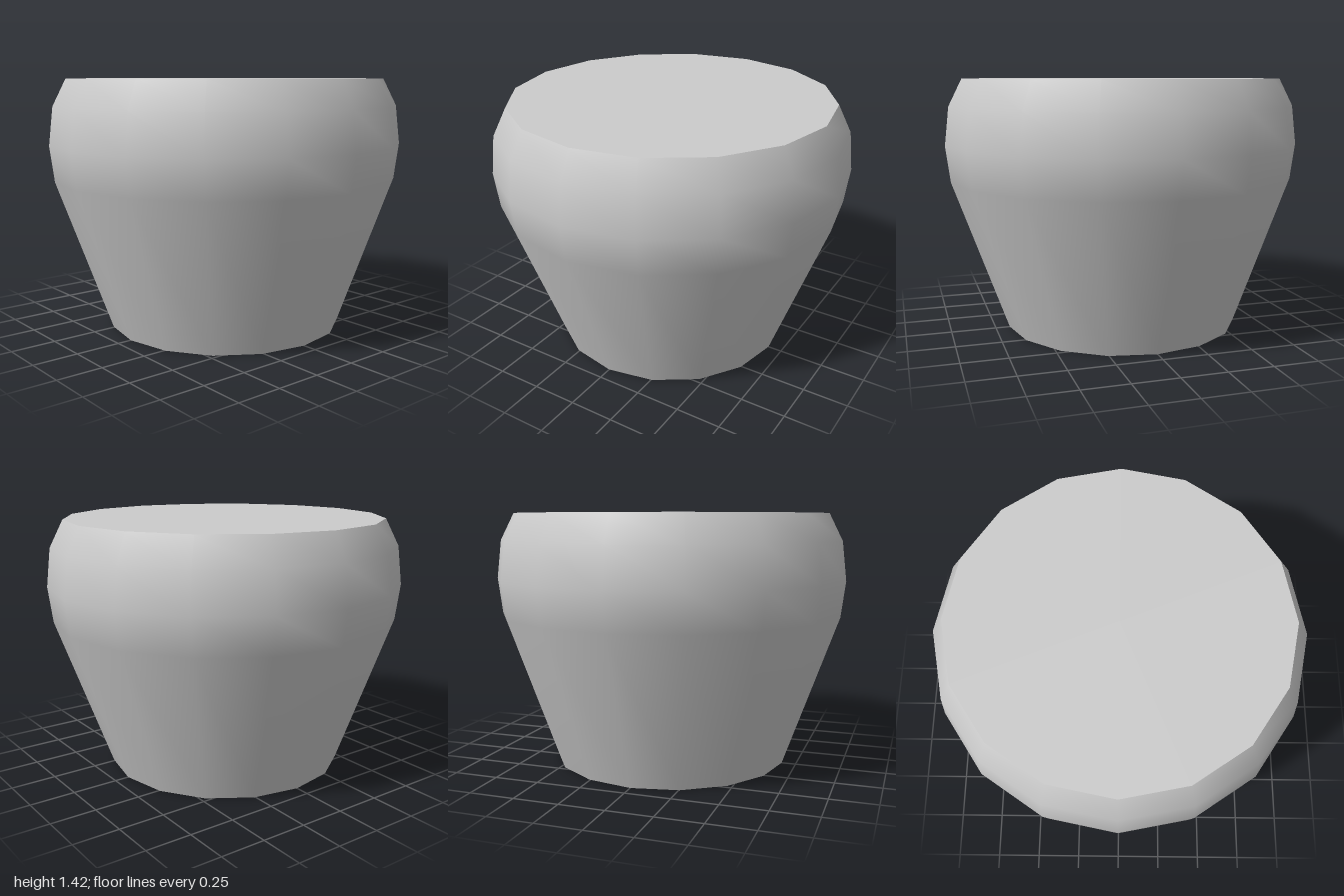
import * as THREE from 'three';

const SIDES = 16;

export function createModel() {
  const group = new THREE.Group();
  group.name = 'pot';
  const material = new THREE.MeshStandardMaterial({ color: 0xcccccc });

  const add = (name, geometry) => {
    const mesh = new THREE.Mesh(geometry, material);
    mesh.name = name;
    group.add(mesh);
    return mesh;
  };

  // Tapered wall with a rounded shoulder, listed as radius and height from the bottom up
  const profile = [
    [0.67, 0], [0.975, 0.855], [1, 1.055], [0.975, 1.27], [0.9, 1.42],
  ].map(([r, y]) => new THREE.Vector2(r, y));
  add('wall', new THREE.LatheGeometry(profile, SIDES));

  // Flat discs closing both ends
  const top = add('topFace', new THREE.CircleGeometry(0.9, SIDES));
  top.rotation.x = -Math.PI / 2;
  top.position.y = 1.42;

  const base = add('baseFace', new THREE.CircleGeometry(0.67, SIDES));
  base.rotation.x = Math.PI / 2;

  return group;
}
